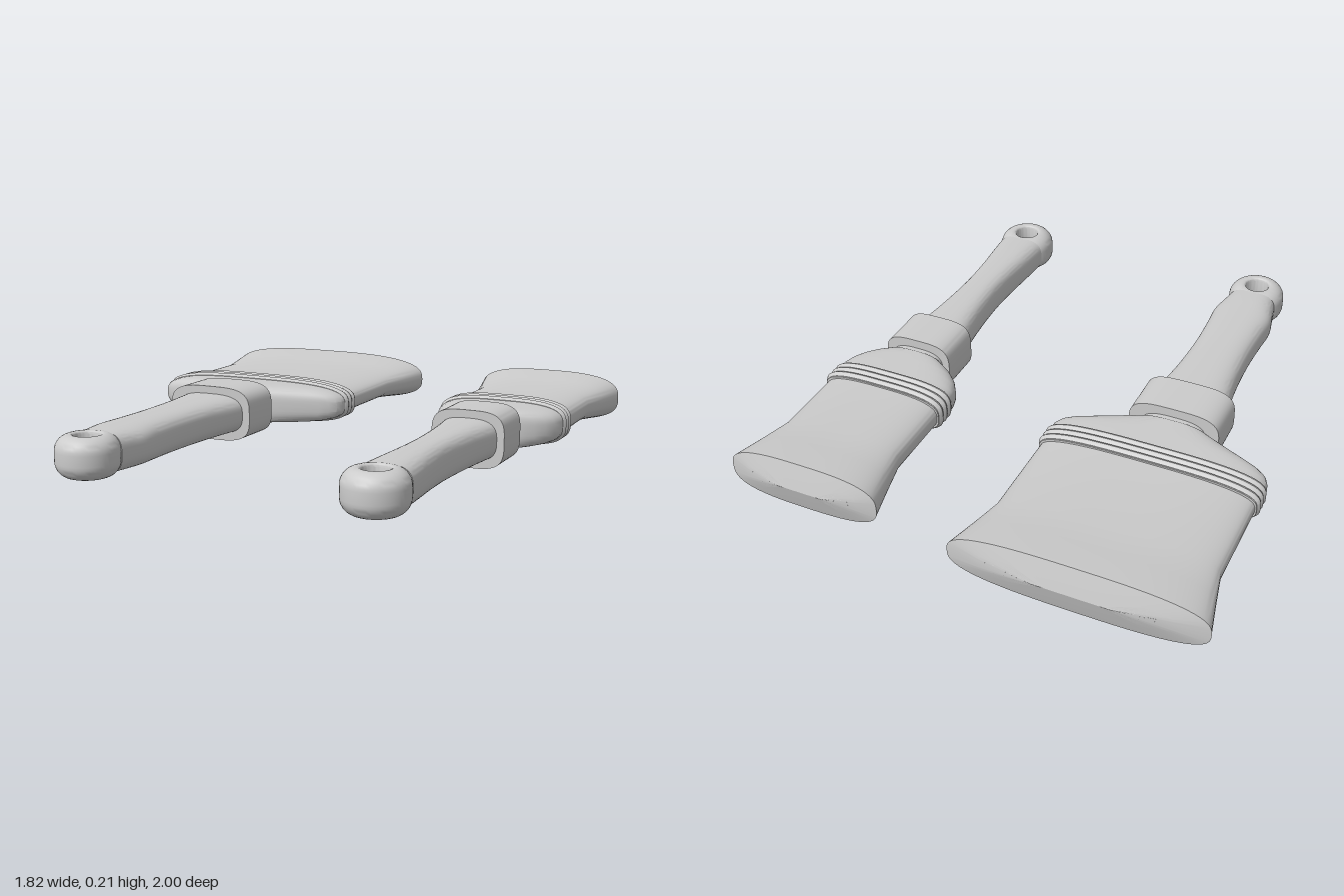
import * as THREE from 'three';
import { toCreasedNormals } from 'three/addons/utils/BufferGeometryUtils.js';

const MID_Y = 0.106;
const grey = () => new THREE.MeshStandardMaterial({ color: 0xcccccc });

function addMesh(group, name, geometry) {
  const mesh = new THREE.Mesh(geometry, grey());
  mesh.name = name;
  group.add(mesh);
  return mesh;
}

// Skins superellipse sections [z, halfWidth, halfHeight], ordered by rising z.
function loft(sections, power = 3, sides = 56, crease = 0.5) {
  const first = sections[0], last = sections[sections.length - 1];
  const rings = [[first[0], 0, 0], ...sections, [last[0], 0, 0]];
  const pos = [], index = [];
  const bend = (v) => Math.sign(v) * Math.pow(Math.abs(v), 2 / power);
  for (const [z, w, h] of rings) {
    for (let j = 0; j < sides; j++) {
      const a = (j / sides) * Math.PI * 2;
      pos.push(w * bend(Math.cos(a)), h * bend(Math.sin(a)), z);
    }
  }
  for (let i = 0; i < rings.length - 1; i++) {
    for (let j = 0; j < sides; j++) {
      const k = (j + 1) % sides;
      const a = i * sides + j, b = i * sides + k;
      index.push(a, b, b + sides, a, b + sides, a + sides);
    }
  }
  const g = new THREE.BufferGeometry();
  g.setAttribute('position', new THREE.Float32BufferAttribute(pos, 3));
  g.setIndex(index);
  return toCreasedNormals(g, crease);
}

// Resamples a few sections along a smooth curve.
function smooth(sections, count) {
  const curve = new THREE.CatmullRomCurve3(sections.map(([z, w, h]) => new THREE.Vector3(w, h, z)));
  return curve.getPoints(count).map((p) => [p.z, p.x, p.y]);
}

// Ring at the end of the handle, with a softly flared hanging hole.
function hangingRing() {
  const R = 0.112, H = 0.074, hole = 0.046, lip = 0.012, round = 0.055;
  const profile = [];
  const arc = (cx, cy, r, from, to, n) => {
    for (let i = 0; i <= n; i++) {
      const a = from + ((to - from) * i) / n;
      profile.push(new THREE.Vector2(cx + r * Math.cos(a), cy + r * Math.sin(a)));
    }
  };
  const q = Math.PI / 2;
  arc(R - round, -H + round, round, -q, 0, 8);
  arc(R - round, H - round, round, 0, q, 8);
  arc(hole + lip, H - lip, lip, q, 2 * q, 4);
  arc(hole + lip, -H + lip, lip, 2 * q, 3 * q, 4);
  profile.push(profile[0].clone());
  return toCreasedNormals(new THREE.LatheGeometry(profile, 48), 0.6);
}

function makeBrush(name, x, d) {
  const brush = new THREE.Group();
  brush.name = name;
  brush.position.set(x, MID_Y, 0);

  addMesh(brush, 'handle', loft(smooth(d.handle, 40), 3));
  addMesh(brush, 'hangingRing', hangingRing()).position.z = 0.888;
  addMesh(brush, 'collar', loft([[-0.09, d.collar, 0.105], [0.09, d.collar, 0.105]], 3.6));
  addMesh(brush, 'neck', loft([[-0.12, d.neck, 0.07], [-0.08, d.neck, 0.07]]));

  // Shoulder widening from the neck to the full brush width
  addMesh(brush, 'ferrule', loft([[-0.37, d.ferrule - 0.006, 0.076], ...d.shoulder], 3.2));

  // Raised bands round the ferrule
  for (const z of [-0.35, -0.32, -0.29]) {
    const band = [-0.015, -0.009, 0, 0.009, 0.015].map((o) => {
      const drop = 0.009 * Math.pow(Math.abs(o) / 0.015, 2);
      return [z + o, d.ferrule + 0.003 - drop, 0.087 - drop];
    });
    addMesh(brush, 'band', loft(band, 3.2));
  }

  // Flared bristles, finishing in a low ridge
  const t = d.tip, w = d.bristle;
  addMesh(brush, 'bristles', loft([
    [t - 0.03, d.flare * 0.3, 0],
    [t - 0.014, d.flare * 0.75, 0.055],
    [t, d.flare, 0.098],
    [t + 0.015, d.flare - 0.004, 0.097],
    [t + 0.13, w + (d.flare - w) * 0.46, 0.083],
    [t + 0.25, w, 0.07],
    [-0.35, w, 0.07],
  ], 2.9, 72));
  return brush;
}

export function createModel() {
  const model = new THREE.Group();
  model.name = 'paintBrushes';
  model.add(makeBrush('wideBrush', -0.45, {
    handle: [[0.08, 0.146, 0.076], [0.25, 0.122, 0.075], [0.45, 0.112, 0.074], [0.6, 0.116, 0.074],
      [0.7, 0.121, 0.074], [0.77, 0.108, 0.074], [0.828, 0.097, 0.073]],
    collar: 0.175, neck: 0.125, ferrule: 0.415, bristle: 0.403, flare: 0.46, tip: -0.97,
    shoulder: [[-0.25, 0.409, 0.076], [-0.225, 0.397, 0.076], [-0.205, 0.37, 0.076],
      [-0.19, 0.335, 0.076], [-0.115, 0.15, 0.075], [-0.11, 0.13, 0.072]],
  }));
  model.add(makeBrush('narrowBrush', 0.612, {
    handle: [[0.08, 0.111, 0.076], [0.25, 0.088, 0.075], [0.45, 0.075, 0.074], [0.6, 0.08, 0.074],
      [0.72, 0.09, 0.074], [0.828, 0.098, 0.073]],
    collar: 0.137, neck: 0.108, ferrule: 0.248, bristle: 0.236, flare: 0.293, tip: -0.9,
    shoulder: [[-0.25, 0.242, 0.076], [-0.21, 0.23, 0.076], [-0.175, 0.207, 0.076],
      [-0.145, 0.175, 0.076], [-0.115, 0.125, 0.075], [-0.11, 0.11, 0.072]],
  }));
  return model;
}
